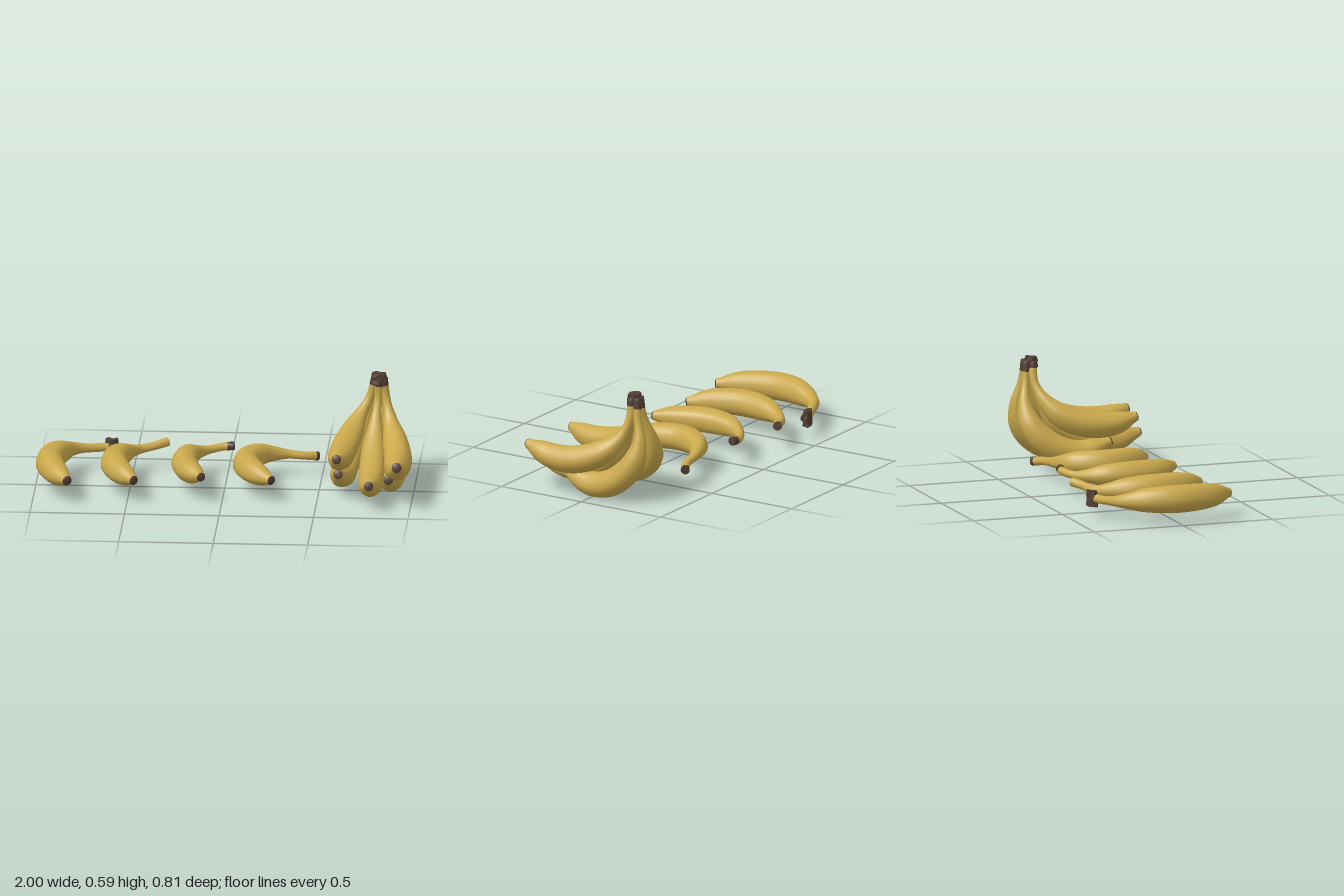
import * as THREE from 'three';

const peel = new THREE.MeshStandardMaterial({ color: 0xc9a84c });
peel.name = 'yellow peel';
const bark = new THREE.MeshStandardMaterial({ color: 0x523e33 });
bark.name = 'brown stem';

const RINGS = 44, SIDES = 20;
// radii at even steps from stem to blossom end
const PROFILE = [0.025, 0.023, 0.026, 0.042, 0.062, 0.071, 0.074, 0.073, 0.068, 0.055, 0.026];

// skin over a list of rings: { p, n, b, r }
function loft(rings) {
  const pos = [], index = [];
  for (const { p, n, b, r } of rings) {
    for (let j = 0; j < SIDES; j++) {
      const a = (j / SIDES) * Math.PI * 2;
      const rr = r * (1 + 0.025 * Math.cos(5 * a)); // five soft ridges
      const v = p.clone().addScaledVector(n, rr * Math.cos(a)).addScaledVector(b, rr * Math.sin(a));
      pos.push(v.x, v.y, v.z);
    }
  }
  for (let i = 0; i < rings.length - 1; i++) {
    for (let j = 0; j < SIDES; j++) {
      const k = (j + 1) % SIDES;
      const a = i * SIDES + j, b = i * SIDES + k, c = b + SIDES, d = a + SIDES;
      index.push(a, b, c, a, c, d);
    }
  }
  const g = new THREE.BufferGeometry();
  g.setAttribute('position', new THREE.Float32BufferAttribute(pos, 3));
  g.setIndex(index);
  g.computeVertexNormals();
  return g;
}

function part(name, geometry, material) {
  const m = new THREE.Mesh(geometry, material);
  m.name = name;
  return m;
}

// banana along a path from stem to blossom end; stemRings of it are brown
function banana(name, points, stemRings, scale = 1) {
  const curve = new THREE.CatmullRomCurve3(points.map(p => new THREE.Vector3(...p)));
  const frames = curve.computeFrenetFrames(RINGS);
  const radius = new THREE.SplineCurve(PROFILE.map(r => new THREE.Vector2(r, 0)));
  const rings = [];
  for (let i = 0; i <= RINGS; i++) {
    rings.push({
      p: curve.getPointAt(i / RINGS), n: frames.normals[i], b: frames.binormals[i],
      r: radius.getPoint(i / RINGS).x * scale,
    });
  }
  const first = rings[0], last = rings[RINGS];
  const g = new THREE.Group();
  g.name = name;
  g.add(part('peel', loft(rings.slice(stemRings)), peel));
  // stem with its cut end
  const stem = [{ ...first, r: 0 }, { ...first, r: first.r * 0.8 }, ...rings.slice(0, stemRings + 1)];
  g.add(part('stem', loft(stem), bark));
  // dark blossom end
  const out = last.p.clone().addScaledVector(frames.tangents[RINGS], 0.006);
  g.add(part('blossomEnd', loft([last, { ...last, p: out, r: last.r * 0.75 }, { ...last, p: out, r: 0 }]), bark));
  return g;
}

// rough woody lump
function knob(name, position, size, turn = 0) {
  const geo = new THREE.CylinderGeometry(0.85, 1, 2, 9, 3).toNonIndexed();
  const p = geo.attributes.position;
  for (let i = 0; i < p.count; i++) {
    const x = p.getX(i), y = p.getY(i), z = p.getZ(i);
    const k = 1 + 0.12 * Math.sin(4 * x + 3 * y) * Math.cos(5 * z - 2 * y);
    p.setXYZ(i, x * k, y * (1 + 0.1 * Math.sin(5 * x + 4 * z)), z * k);
  }
  geo.computeVertexNormals();
  const m = part(name, geo, bark);
  m.position.set(...position);
  m.scale.set(...size);
  m.rotation.y = turn;
  return m;
}

export function createModel() {
  const model = new THREE.Group();
  model.name = 'bananas';

  // four loose bananas lying on their sides
  const loose = new THREE.Group();
  loose.name = 'looseBananas';
  loose.add(
    banana('looseBanana1', [
      [-0.60, 0.108, -0.375], [-0.72, 0.112, -0.335], [-0.82, 0.122, -0.28], [-0.895, 0.135, -0.15],
      [-0.925, 0.137, 0], [-0.89, 0.135, 0.17], [-0.815, 0.128, 0.32]], 2),
    knob('looseStemCrown', [-0.62, 0.108, -0.377], [0.042, 0.042, 0.025], 0.25),
    banana('looseBanana2', [
      [-0.325, 0.14, -0.38], [-0.38, 0.13, -0.345], [-0.47, 0.118, -0.305], [-0.55, 0.128, -0.19],
      [-0.585, 0.135, -0.02], [-0.55, 0.133, 0.14], [-0.465, 0.124, 0.28]], 0, 0.97),
    banana('looseBanana3', [
      [0.03, 0.14, -0.322], [-0.02, 0.135, -0.325], [-0.11, 0.127, -0.28], [-0.19, 0.135, -0.18],
      [-0.215, 0.138, -0.04], [-0.185, 0.138, 0.12], [-0.11, 0.145, 0.265]], 2, 0.92),
    banana('looseBanana4', [
      [0.475, 0.095, -0.315], [0.41, 0.107, -0.28], [0.30, 0.12, -0.262], [0.18, 0.135, -0.2],
      [0.112, 0.137, -0.05], [0.15, 0.135, 0.1], [0.26, 0.124, 0.235]], 1, 0.95));
  model.add(loose);

  // hand of five bananas joined at the crown
  const bunch = new THREE.Group();
  bunch.name = 'bunch';
  bunch.add(
    banana('upperLeftBanana', [
      [0.825, 0.565, -0.205], [0.84, 0.46, -0.205], [0.865, 0.35, -0.16], [0.895, 0.265, -0.07],
      [0.92, 0.208, 0.08], [0.925, 0.203, 0.23], [0.932, 0.25, 0.38]], 2),
    banana('upperRightBanana', [
      [0.785, 0.565, -0.205], [0.755, 0.46, -0.205], [0.70, 0.36, -0.16], [0.66, 0.285, -0.08],
      [0.63, 0.24, 0.05], [0.62, 0.235, 0.18], [0.61, 0.27, 0.315]], 2, 0.95),
    banana('middleBanana', [
      [0.805, 0.565, -0.195], [0.80, 0.46, -0.195], [0.79, 0.35, -0.15], [0.785, 0.23, -0.07],
      [0.785, 0.145, 0.06], [0.785, 0.11, 0.22], [0.785, 0.15, 0.395]], 2, 0.95),
    banana('lowerLeftBanana', [
      [0.815, 0.57, -0.235], [0.83, 0.47, -0.245], [0.85, 0.34, -0.27], [0.87, 0.21, -0.235],
      [0.88, 0.11, -0.13], [0.88, 0.074, 0], [0.875, 0.12, 0.175]], 3, 0.97),
    banana('lowerRightBanana', [
      [0.795, 0.57, -0.235], [0.78, 0.47, -0.245], [0.735, 0.34, -0.265], [0.68, 0.22, -0.235],
      [0.64, 0.125, -0.13], [0.625, 0.092, 0], [0.61, 0.145, 0.17]], 3, 0.95),
    knob('bunchCrown', [0.803, 0.565, -0.208], [0.046, 0.026, 0.038]));
  model.add(bunch);
  return model;
}
